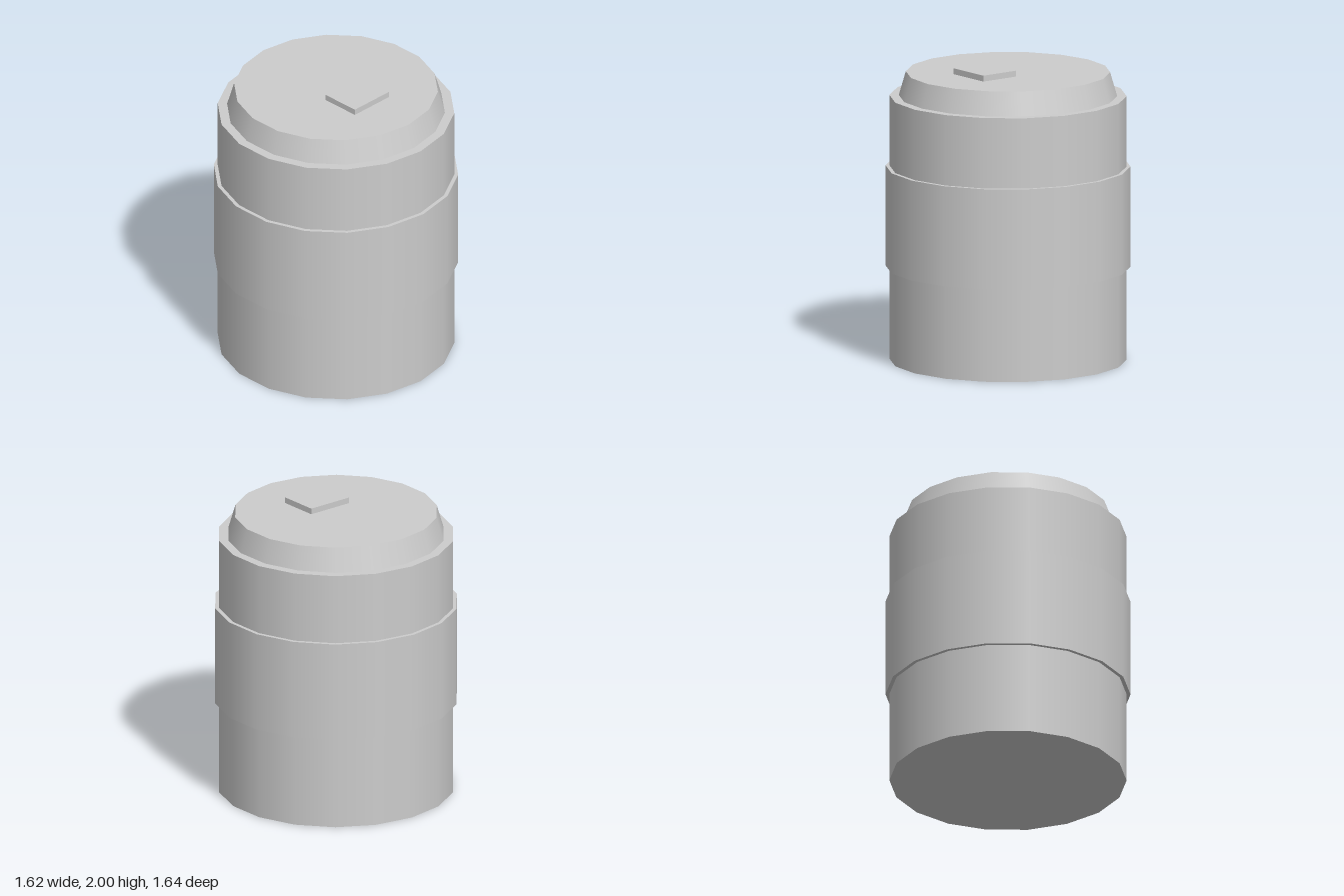
import * as THREE from 'three';

const SIDES = 18;

export function createModel() {
  const model = new THREE.Group();
  const grey = new THREE.MeshStandardMaterial({ color: 0xcccccc });
  grey.name = 'light grey';

  const add = (name, geometry, x, y, z) => {
    const mesh = new THREE.Mesh(geometry, grey);
    mesh.name = name;
    mesh.position.set(x, y, z);
    model.add(mesh);
  };

  // Round section between two heights, smooth around its side
  const section = (name, topRadius, bottomRadius, y0, y1) =>
    add(name, new THREE.CylinderGeometry(topRadius, bottomRadius, y1 - y0, SIDES), 0, (y0 + y1) / 2, 0);

  section('body', 0.794, 0.794, 0, 1.798);
  section('middleBand', 0.82, 0.82, 0.635, 1.318);
  section('taperedLid', 0.684, 0.731, 1.798, 1.96);

  // Small raised tab toward the front of the lid
  add('lidTab', new THREE.BoxGeometry(0.326, 0.04, 0.276), 0, 1.98, 0.2);

  return model;
}
